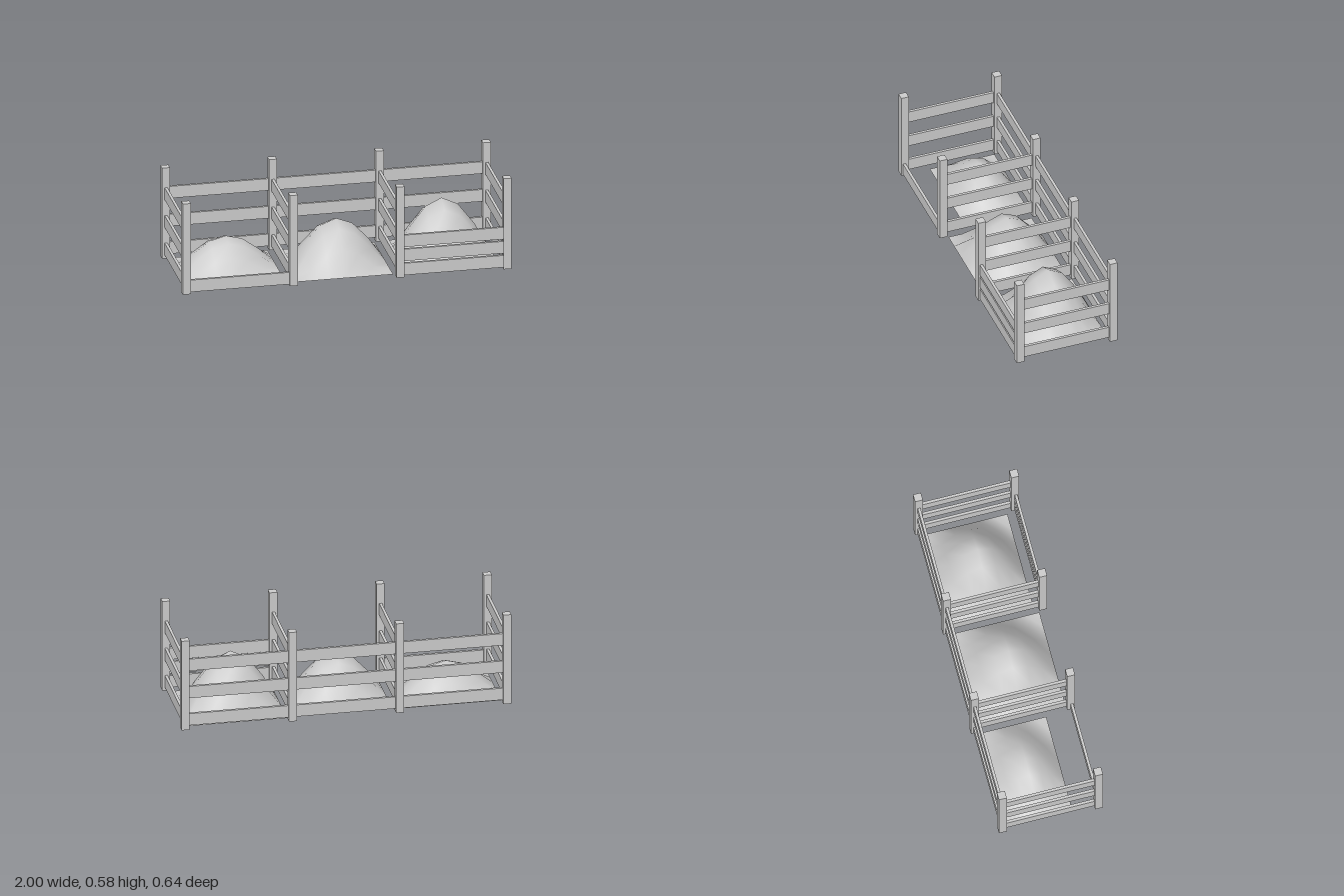
import * as THREE from 'three';

const material = new THREE.MeshStandardMaterial({ color: 0xcccccc });
const moundMaterial = new THREE.MeshStandardMaterial({ color: 0xcccccc, side: THREE.DoubleSide });

const POST = 0.048, POST_HEIGHT = 0.58, POST_Z = 0.296;
const POST_X = [-0.976, -0.325, 0.325, 0.976];
const BOARD = 0.076, THICK = 0.017;
const RAIL_Y = [0.06, 0.237, 0.415];

function box(name, w, h, d, x, y, z) {
  const mesh = new THREE.Mesh(new THREE.BoxGeometry(w, h, d), material);
  mesh.name = name;
  mesh.position.set(x, y, z);
  return mesh;
}

// Heap: a coarse smooth-shaded grid raised into a rounded cosine hill with flat corners
function mound(name, x0, x1, z0, z1, height) {
  const w = x1 - x0, d = z1 - z0;
  const geometry = new THREE.PlaneGeometry(w, d, 6, 6).rotateX(-Math.PI / 2);
  const p = geometry.attributes.position;
  for (let i = 0; i < p.count; i++) {
    const r = Math.min(1, Math.hypot(p.getX(i) / (w / 2), p.getZ(i) / (d / 2)));
    p.setY(i, (height - 0.004) * Math.cos(r * Math.PI / 2));
  }
  geometry.computeVertexNormals();
  const mesh = new THREE.Mesh(geometry, moundMaterial);
  mesh.name = name;
  mesh.position.set((x0 + x1) / 2, 0.004, (z0 + z1) / 2);
  return mesh;
}

export function createModel() {
  const model = new THREE.Group();
  model.name = 'storageBays';

  // Posts and the side and divider rails between each front and back pair
  for (const x of POST_X) {
    for (const z of [-POST_Z, POST_Z]) {
      model.add(box('post', POST, POST_HEIGHT, POST, x, POST_HEIGHT / 2, z));
    }
    for (const y of RAIL_Y) {
      model.add(box('sideRail', THICK, BOARD, 2 * POST_Z - POST, x, y, 0));
    }
  }

  // Back rails across all bays, front boards on the outer bays only
  const frontY = [[0.047], [], [0.047, 0.137, 0.227]];
  for (let bay = 0; bay < 3; bay++) {
    const x = (POST_X[bay] + POST_X[bay + 1]) / 2;
    const length = POST_X[bay + 1] - POST_X[bay] - POST;
    for (const y of RAIL_Y) {
      model.add(box('backRail', length, BOARD, THICK, x, y, -POST_Z));
    }
    for (const y of frontY[bay]) {
      model.add(box('frontBoard', length, BOARD, THICK, x, y, 0.301));
    }
  }

  // Heaps of material
  model.add(mound('rightHeap', -0.95, -0.36, -0.27, 0.14, 0.2));
  model.add(mound('middleHeap', -0.29, 0.29, -0.26, 0.27, 0.285));
  model.add(mound('leftHeap', 0.35, 0.94, -0.275, 0.245, 0.355));

  return model;
}
